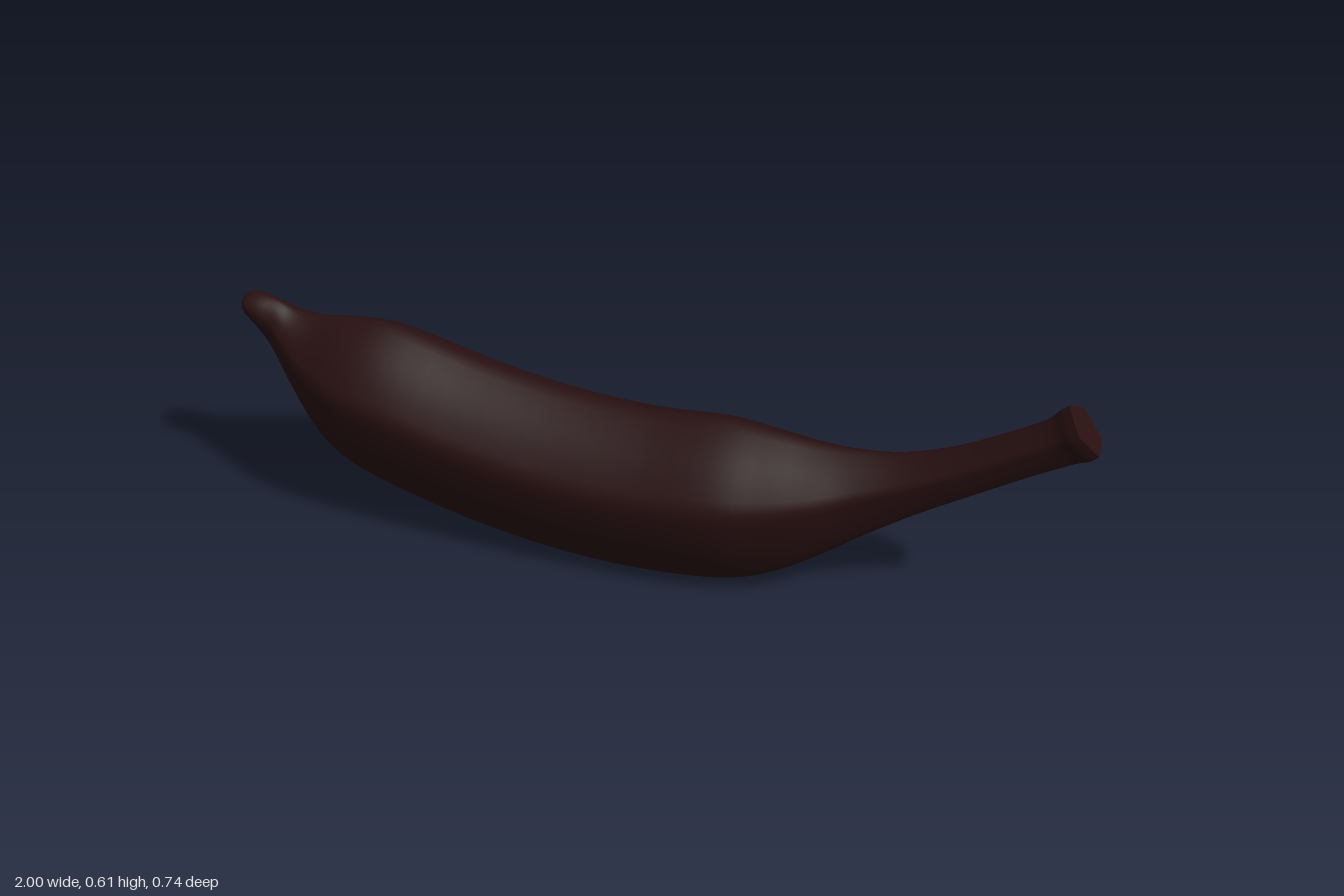
import * as THREE from 'three';

// Stations along the fruit: top x, top y, bottom x, bottom y, half width, pentagon amount
const stations = [
  [-0.998, 0.54, -0.996, 0.518, 0.012, 0.1],
  [-0.985, 0.555, -0.982, 0.498, 0.036, 0.1],
  [-0.95, 0.558, -0.955, 0.465, 0.044, 0.2],
  [-0.905, 0.547, -0.925, 0.415, 0.05, 0.3],
  [-0.86, 0.528, -0.88, 0.33, 0.079, 0.4],
  [-0.8, 0.524, -0.82, 0.235, 0.117, 0.5],
  [-0.71, 0.533, -0.74, 0.168, 0.16, 0.5],
  [-0.6, 0.528, -0.62, 0.115, 0.178, 0.5],
  [-0.4, 0.47, -0.41, 0.052, 0.184, 0.5],
  [-0.2, 0.43, -0.2, 0.014, 0.187, 0.5],
  [0, 0.415, 0, 0.003, 0.188, 0.5],
  [0.18, 0.425, 0.2, 0.019, 0.184, 0.5],
  [0.29, 0.417, 0.32, 0.056, 0.16, 0.55],
  [0.39, 0.405, 0.43, 0.127, 0.128, 0.6],
  [0.48, 0.404, 0.53, 0.203, 0.093, 0.65],
  [0.58, 0.417, 0.64, 0.284, 0.07, 0.7],
  [0.69, 0.458, 0.76, 0.365, 0.058, 0.7],
  [0.8, 0.522, 0.87, 0.438, 0.051, 0.7],
  [0.872, 0.57, 0.945, 0.486, 0.051, 0.75],
  [0.895, 0.598, 0.972, 0.503, 0.06, 0.85],
  [0.912, 0.615, 0.99, 0.52, 0.06, 0.9],
];
const SIDES = 40, STEPS = 80, SLOPE = 0.32;
const side = new THREE.Vector3(-SLOPE, 0, 1).normalize();

// Soft pentagon, apex up, scaled to fill -1..1 both ways
function section(k) {
  const pts = [];
  for (let j = 0; j < SIDES; j++) {
    const a = (j / SIDES) * Math.PI * 2 + Math.PI / 2;
    const fold = ((j / SIDES) * 5 % 1) * Math.PI * 0.4 - Math.PI / 5;
    const r = THREE.MathUtils.lerp(1, Math.cos(Math.PI / 5) / Math.cos(fold), k);
    pts.push([r * Math.cos(a), r * Math.sin(a)]);
  }
  const maxX = Math.max(...pts.map(p => p[0]));
  const minY = Math.min(...pts.map(p => p[1]));
  return pts.map(([x, y]) => [x / maxX, 2 * (y - minY) / (1 - minY) - 1]);
}

function buildRings() {
  const curve = f => new THREE.CatmullRomCurve3(stations.map(f), false, 'catmullrom', 0.5);
  const top = curve(s => new THREE.Vector3(s[0], s[1], s[0] * SLOPE));
  const bottom = curve(s => new THREE.Vector3(s[2], s[3], s[2] * SLOPE));
  const size = curve(s => new THREE.Vector3(s[4], s[5], 0));
  const rings = [];
  for (let i = 0; i <= STEPS; i++) {
    const t = i / STEPS;
    const a = top.getPoint(t), b = bottom.getPoint(t), c = size.getPoint(t);
    const mid = a.clone().add(b).multiplyScalar(0.5);
    const up = a.sub(b).multiplyScalar(0.5);
    rings.push(section(c.y).map(([x, y]) =>
      mid.clone().addScaledVector(side, x * c.x).addScaledVector(up, y)));
  }
  return rings;
}

function geometryFrom(points, index) {
  const g = new THREE.BufferGeometry().setFromPoints(points);
  g.setIndex(index);
  g.computeVertexNormals();
  return g;
}

// Flat fan closing one ring
function capGeometry(ring, flip) {
  const centre = ring.reduce((s, p) => s.add(p), new THREE.Vector3()).divideScalar(SIDES);
  const index = [];
  for (let j = 0; j < SIDES; j++) {
    const n = (j + 1) % SIDES;
    index.push(SIDES, flip ? n : j, flip ? j : n);
  }
  return geometryFrom([...ring, centre], index);
}

export function createModel() {
  const group = new THREE.Group();
  group.name = 'banana';
  const skin = new THREE.MeshStandardMaterial({ color: 0x281011 });
  skin.name = 'dark brown skin';

  const rings = buildRings();
  const index = [];
  for (let i = 0; i < STEPS; i++) {
    for (let j = 0; j < SIDES; j++) {
      const n = (j + 1) % SIDES;
      const a = i * SIDES + j, b = i * SIDES + n;
      index.push(a, a + SIDES, b, b, a + SIDES, b + SIDES);
    }
  }
  const add = (name, geometry) => {
    const mesh = new THREE.Mesh(geometry, skin);
    mesh.name = name;
    group.add(mesh);
  };
  add('peel', geometryFrom(rings.flat(), index));
  add('blossomTip', capGeometry(rings[0], false));
  add('stemEnd', capGeometry(rings[STEPS], true));
  return group;
}
